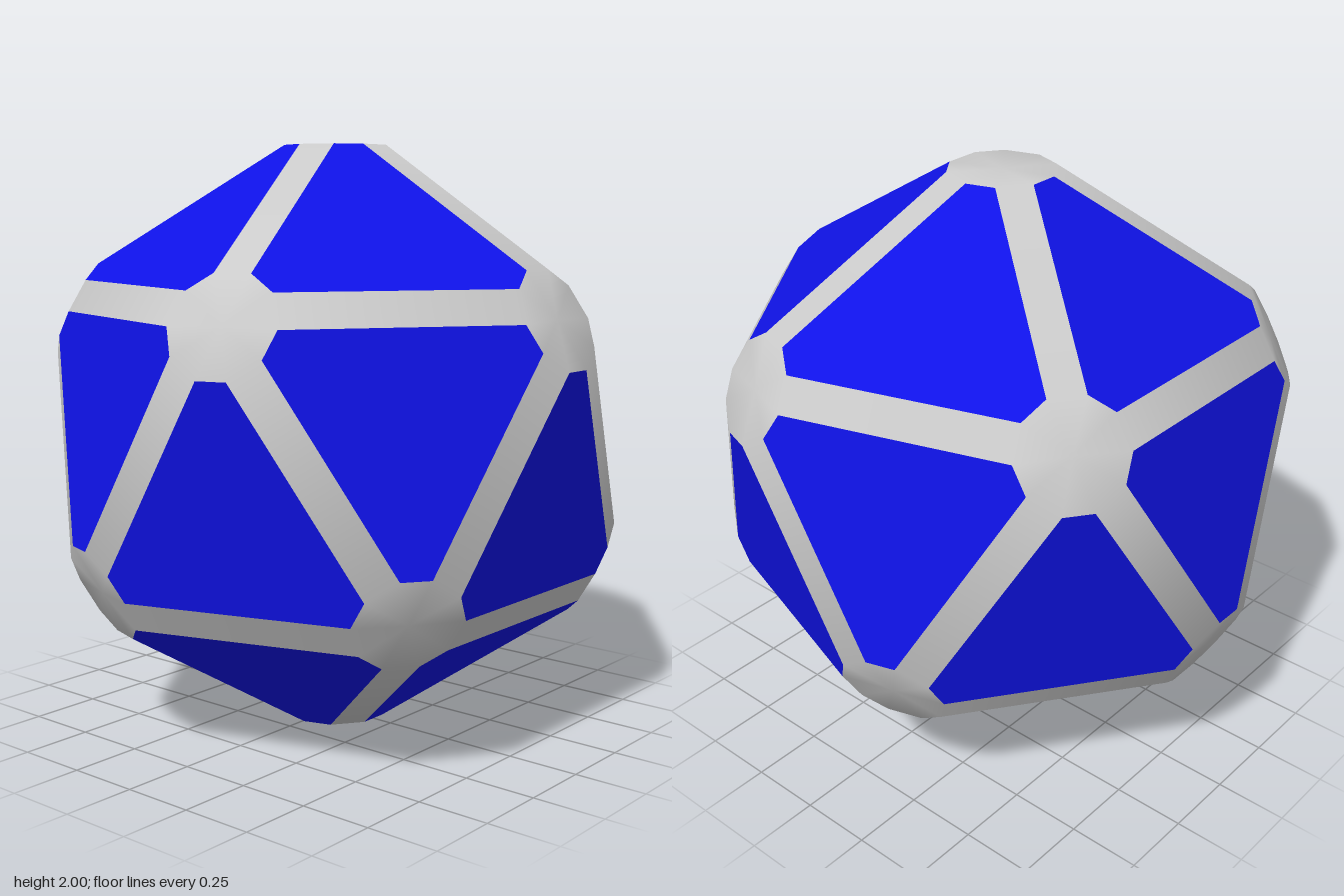
import * as THREE from 'three';

// Distances of the three kinds of cutting plane from the centre
const CAP = 1, STRIP = 0.94, PANEL = 0.9;

// Icosahedron corner directions: two poles and two staggered rings
function cornerDirections() {
  const dirs = [new THREE.Vector3(0, 1, 0), new THREE.Vector3(0, -1, 0)];
  for (let k = 0; k < 5; k++) {
    const a = (k * 2 * Math.PI) / 5;
    const d = new THREE.Vector3(2 * Math.cos(a), 1, 2 * Math.sin(a)).normalize();
    dirs.push(d, d.clone().negate());
  }
  return dirs;
}

// Triangles of neighbouring corners, wound counter-clockwise from outside
function findFaces(dirs) {
  const near = (i, j) => dirs[i].dot(dirs[j]) > 0.4;
  const faces = [];
  for (let i = 0; i < 12; i++)
    for (let j = i + 1; j < 12; j++)
      for (let k = j + 1; k < 12; k++) {
        if (!near(i, j) || !near(j, k) || !near(i, k)) continue;
        const side = dirs[j].clone().cross(dirs[k]).dot(dirs[i]);
        faces.push(side > 0 ? [i, j, k] : [i, k, j]);
      }
  return faces;
}

// Collects convex polygons as triangle fans, with one normal per point
class Surface {
  positions = [];
  normals = [];
  add(points) {
    for (let i = 1; i < points.length - 1; i++)
      for (const q of [points[0], points[i], points[i + 1]]) {
        this.positions.push(q.p.x, q.p.y, q.p.z);
        this.normals.push(q.n.x, q.n.y, q.n.z);
      }
  }
  mesh(name, color) {
    const g = new THREE.BufferGeometry();
    g.setAttribute('position', new THREE.Float32BufferAttribute(this.positions, 3));
    g.setAttribute('normal', new THREE.Float32BufferAttribute(this.normals, 3));
    const m = new THREE.Mesh(g, new THREE.MeshStandardMaterial({ color }));
    m.name = name;
    return m;
  }
}

export function createModel() {
  const dirs = cornerDirections();
  const faces = findFaces(dirs);

  // Reach of a cap along an edge, and half the width of an edge strip
  const half = Math.acos(dirs[0].dot(dirs[2])) / 2;
  const reach = (STRIP - CAP * Math.cos(half)) / Math.sin(half);
  const [i0, j0, k0] = faces[0].map((i) => dirs[i]);
  const tilt = i0.clone().add(j0).angleTo(i0.clone().add(j0).add(k0));
  const width = (PANEL - STRIP * Math.cos(tilt)) / Math.sin(tilt);

  // Point where the cap at a meets one side of the strip towards b
  const corner = (a, b, side) => {
    const v = dirs[a];
    const along = dirs[b].clone().addScaledVector(v, -v.dot(dirs[b])).normalize();
    const across = v.clone().cross(along);
    const p = v.clone().multiplyScalar(CAP).addScaledVector(along, reach).addScaledVector(across, side * width);
    const stripNormal = v.clone().add(dirs[b]).normalize();
    return { p, n: stripNormal.add(v).normalize() };
  };

  const caps = new Surface(), strips = new Surface(), panels = new Surface();
  for (const face of faces) {
    const n = new THREE.Vector3();
    face.forEach((i) => n.add(dirs[i]));
    n.normalize();
    const outline = [];
    for (let r = 0; r < 3; r++) {
      const a = face[r], b = face[(r + 1) % 3], c = face[(r + 2) % 3];
      const centre = { p: dirs[a].clone().multiplyScalar(CAP), n: dirs[a] };
      // Two wedges of the ten-sided cap
      caps.add([centre, corner(a, b, -1), corner(a, b, 1)]);
      caps.add([centre, corner(a, b, 1), corner(a, c, -1)]);
      // Bevelled strip along the edge, once per edge
      if (a < b) strips.add([corner(a, b, -1), corner(b, a, 1), corner(b, a, -1), corner(a, b, 1)]);
      outline.push({ p: corner(a, c, -1).p, n }, { p: corner(a, b, 1).p, n });
    }
    // Flat six-sided panel
    panels.add(outline);
  }

  const model = new THREE.Group();
  model.name = 'panelledBall';
  model.add(
    caps.mesh('cornerCaps', 0xcccccc),
    strips.mesh('edgeStrips', 0xcccccc),
    panels.mesh('facePanels', 0x0f12e6)
  );
  // Stand it on the ground
  model.children.forEach((m) => (m.position.y = CAP));
  return model;
}
